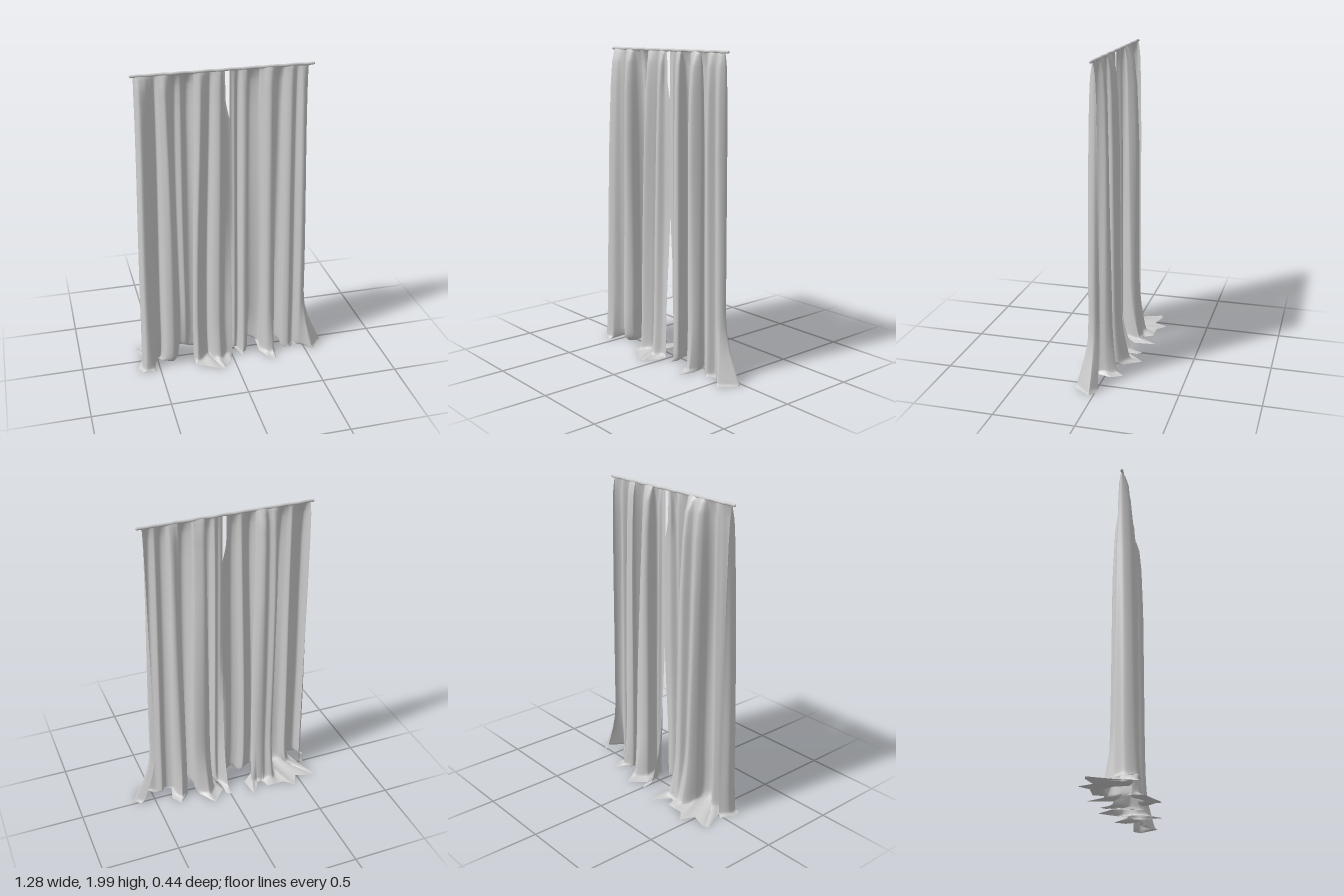
import * as THREE from 'three';

const V = (x, z) => new THREE.Vector3(x, 0, z);
const ROD_Z = 0.035;
const { lerp, smoothstep } = THREE.MathUtils;

// Fold points across each panel: [x, z, hemX, hemZ, flare]
const rightFolds = [
  [-0.575, 0.0, -0.6, -0.02], [-0.607, 0.05, -0.645, 0.08, 0.1], [-0.585, 0.115, -0.62, 0.13, 0.2],
  [-0.535, 0.1, -0.53, 0.14, 0.2], [-0.5, 0.05, -0.57, -0.01], [-0.47, 0.03, -0.63, -0.15],
  [-0.44, 0.085, -0.59, -0.16], [-0.4, 0.1, -0.49, -0.13], [-0.365, 0.07, -0.45, -0.22],
  [-0.36, 0.0, -0.39, -0.16, 0.1], [-0.33, -0.05, -0.33, -0.16, 0.4], [-0.29, -0.03, -0.27, -0.16, 0.4],
  [-0.26, -0.065, -0.25, -0.1, 0.5], [-0.215, -0.055, -0.22, -0.1, 0.4], [-0.195, -0.02, -0.15, -0.21, 0.3],
  [-0.24, 0.02, -0.135, -0.06], [-0.265, 0.06, -0.26, 0.05],
  [-0.24, 0.085, -0.26, 0.13, 0.2], [-0.19, 0.05, -0.18, 0.17, 0.1], [-0.16, 0.025, -0.11, 0.21],
  [-0.13, 0.07, -0.08, 0.22, 0.1], [-0.09, 0.09, -0.07, 0.18, 0.15], [-0.05, 0.06, -0.02, 0.13, 0.15],
  [0.0, 0.075, -0.005, 0.08],
];
const leftFolds = [
  [-0.008, 0.0, -0.005, -0.15, 0.5], [0.025, 0.04, 0.025, -0.12, 0.2], [0.05, 0.02, 0.02, -0.06],
  [0.075, 0.075, 0.07, 0.1], [0.11, 0.065, 0.05, 0.0], [0.105, -0.02, 0.035, -0.08, 0.2],
  [0.15, -0.045, 0.125, -0.18, 0.4], [0.215, -0.02, 0.2, -0.07, 0.3], [0.205, 0.05, 0.19, 0.07],
  [0.235, 0.095, 0.23, 0.15, 0.1], [0.275, 0.09, 0.27, 0.2, 0.2], [0.3, 0.04, 0.295, 0.1],
  [0.27, -0.01, 0.27, -0.03], [0.31, -0.03, 0.345, -0.11, 0.3], [0.34, 0.0, 0.385, -0.04, 0.1],
  [0.345, 0.05, 0.36, 0.06], [0.39, 0.075, 0.4, 0.09], [0.43, 0.035, 0.44, 0.05],
  [0.47, 0.075, 0.5, 0.08, 0.3], [0.495, 0.065, 0.56, 0.15, 0.8], [0.506, 0.03, 0.64, 0.03, 1],
  [0.48, 0.0, 0.6, -0.01, 0.8],
];

// Piecewise linear lookup in [key, value] pairs with rising keys
function ramp(stops, k) {
  for (let i = 1; i < stops.length; i++) {
    const [a, va] = stops[i - 1], [b, vb] = stops[i];
    if (k <= b) return lerp(va, vb, Math.max(0, (k - a) / (b - a)));
  }
  return stops[stops.length - 1][1];
}
const foldDepth = [[0, 1.08], [0.3, 1], [1.4, 0.82], [1.75, 0.67], [1.9, 0.5], [1.96, 0.27], [1.99, 0.08]];
const hemSpread = [[0.004, 1], [0.008, 0.75], [0.012, 0.4], [0.022, 0.12], [0.05, 0.05], [0.1, 0.02], [0.2, 0]];
const flareSpread = [[0.004, 1], [0.02, 0.93], [0.1, 0.65], [0.2, 0.32], [0.3, 0.1], [0.4, 0]];
const rows = [1.99, 1.975, 1.96, 1.93, 1.9, 1.85, 1.8, 1.75, 1.68, 1.6, 1.5, 1.4, 1.3, 1.2, 1.1, 1, 0.9, 0.8, 0.7,
  0.6, 0.5, 0.42, 0.35, 0.3, 0.25, 0.2, 0.15, 0.1, 0.07, 0.05, 0.035, 0.022, 0.017, 0.012, 0.008, 0.004];

// One hanging sheet: folds shrink to the rod at the top and spill over the floor at the hem.
// innerU is the end of the section that meets the other sheet, slit the width it draws back at the top.
function panel(name, folds, topStart, topEnd, innerU, slit) {
  const section = new THREE.CatmullRomCurve3(folds.map(f => V(f[0], f[1])));
  const last = folds.length - 1, columns = last * 9;
  const positions = [], index = [];
  rows.forEach((y, r) => {
    const depth = ramp(foldDepth, y);
    const gather = 0.6 * smoothstep(y, 0.2, 2.2) / smoothstep(1.99, 0.2, 2.2);
    for (let c = 0; c <= columns; c++) {
      const u = c / columns, i = Math.min(last - 1, Math.floor(u * last)), t = u * last - i;
      const mix = k => lerp(folds[i][k] || 0, folds[i + 1][k] || 0, t);
      const p = section.getPoint(u);
      const inside = Math.sin(Math.PI * u);
      const inner = 1 - smoothstep(Math.abs(u - innerU), 0, 0.08);
      let x = lerp(p.x, lerp(topStart, topEnd, u), gather) + 0.004 * inside * Math.sin(2.4 * y + 19 * u);
      x -= slit * inner * smoothstep(y, 1.64, 1.82);
      // fine pleats, strongest near the heading
      const pleat = 0.014 * depth * inside * smoothstep(y, 0.2, 1.8);
      let z = ROD_Z + (p.z - ROD_Z) * depth + pleat * Math.sin(44 * u);
      // inner edges close up against each other higher up
      z = lerp(z, ROD_Z, inner * smoothstep(y, 0.2, 1.15));
      const spread = lerp(ramp(hemSpread, y), ramp(flareSpread, y), mix(4));
      x = lerp(x, mix(2), spread);
      z = lerp(z, mix(3), spread);
      // small ripples keep the hem from lying perfectly flat
      const lift = y < 0.03 && y > 0.004 ? 0.004 * Math.sin(c * 0.35) : 0;
      positions.push(x, y + lift + 0.002, z);
      if (r && c) {
        const d = r * (columns + 1) + c, b = d - columns - 1;
        index.push(b - 1, d - 1, d, b - 1, d, b);
      }
    }
  });
  const geometry = new THREE.BufferGeometry();
  geometry.setAttribute('position', new THREE.Float32BufferAttribute(positions, 3));
  geometry.setIndex(index);
  geometry.computeVertexNormals();
  const mesh = new THREE.Mesh(geometry, new THREE.MeshStandardMaterial({ color: 0xcccccc, side: THREE.DoubleSide }));
  mesh.name = name;
  return mesh;
}

export function createModel() {
  const group = new THREE.Group();
  group.name = 'curtains';
  group.add(panel('rightCurtain', rightFolds, -0.58, -0.008, 1, 0.03));
  group.add(panel('leftCurtain', leftFolds, -0.012, 0.482, 0, 0));

  // Gathered heading along the top, slightly uneven
  const path = [];
  for (let i = 0; i <= 24; i++) {
    path.push(new THREE.Vector3(-0.592 + 1.1 * i / 24, 1.99 + 0.0015 * Math.sin(i * 2.1), ROD_Z + 0.0015 * Math.sin(i * 1.7)));
  }
  const material = new THREE.MeshStandardMaterial({ color: 0xcccccc });
  const heading = new THREE.Mesh(new THREE.TubeGeometry(new THREE.CatmullRomCurve3(path), 96, 0.009, 10), material);
  heading.name = 'heading';
  group.add(heading);
  for (const end of [path[0], path[24]]) {
    const cap = new THREE.Mesh(new THREE.SphereGeometry(0.009, 10, 8), material);
    cap.name = 'headingEnd';
    cap.position.copy(end);
    group.add(cap);
  }
  return group;
}
